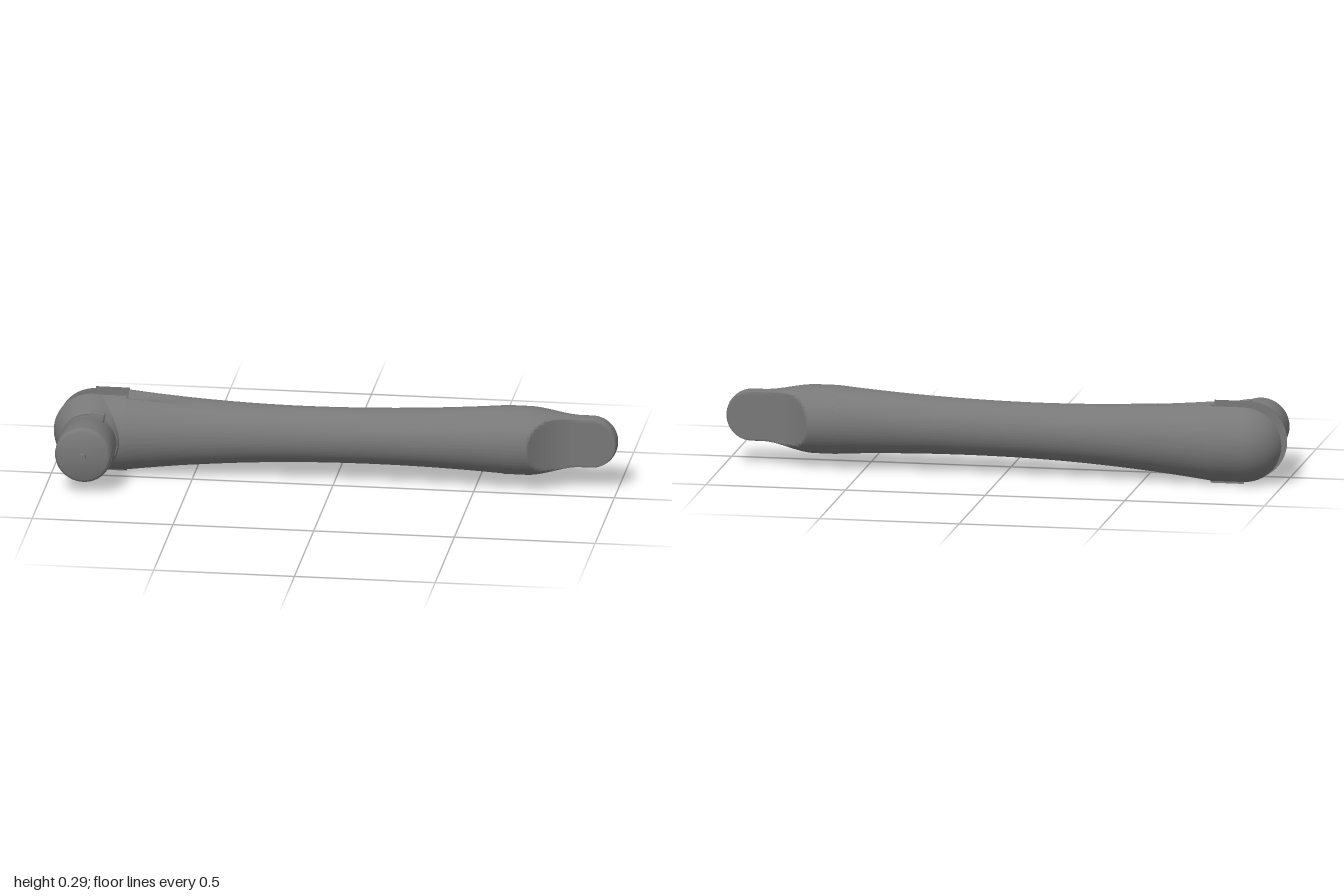
import * as THREE from 'three';
import { toCreasedNormals } from 'three/addons/utils/BufferGeometryUtils.js';
import { RoundedBoxGeometry } from 'three/addons/geometries/RoundedBoxGeometry.js';

const material = new THREE.MeshStandardMaterial({ color: 0x787878 });
const AXIS_Z = -0.095; // the long axis of the arm
const PIVOT_X = -0.86, PIVOT_Y = 0.14;
const SEGMENTS = 120;
const { clamp, smoothstep, lerp } = THREE.MathUtils;

function addMesh(parent, name, geometry, crease = 0.5) {
  const mesh = new THREE.Mesh(toCreasedNormals(geometry, crease), material);
  mesh.name = name;
  parent.add(mesh);
  return mesh;
}

// Capped skin through cross-sections along x; section(x, angle) returns [y, z]
function loft(xs, section) {
  const positions = [], index = [];
  for (const x of xs) {
    for (let j = 0; j < SEGMENTS; j++) {
      positions.push(x, ...section(x, (j / SEGMENTS) * Math.PI * 2));
    }
  }
  for (let i = 0; i < xs.length - 1; i++) {
    for (let j = 0; j < SEGMENTS; j++) {
      const k = (j + 1) % SEGMENTS;
      const a = i * SEGMENTS + j, b = i * SEGMENTS + k;
      index.push(a, b, a + SEGMENTS, b, b + SEGMENTS, a + SEGMENTS);
    }
  }
  [0, xs.length - 1].forEach((row, end) => {
    let y = 0, z = 0;
    for (let j = 0; j < SEGMENTS; j++) {
      y += positions[(row * SEGMENTS + j) * 3 + 1] / SEGMENTS;
      z += positions[(row * SEGMENTS + j) * 3 + 2] / SEGMENTS;
    }
    const centre = positions.length / 3;
    positions.push(xs[row], y, z);
    for (let j = 0; j < SEGMENTS; j++) {
      const a = row * SEGMENTS + j, b = row * SEGMENTS + ((j + 1) % SEGMENTS);
      index.push(centre, ...(end ? [a, b] : [b, a]));
    }
  });
  const geometry = new THREE.BufferGeometry();
  geometry.setAttribute('position', new THREE.Float32BufferAttribute(positions, 3));
  geometry.setIndex(index);
  return geometry;
}

const range = (from, to, steps) =>
  Array.from({ length: steps + 1 }, (_, i) => lerp(from, to, i / steps));

// Turned part around the pivot axis, from [radius, z] pairs running towards +z
function turned(points) {
  const geometry = new THREE.LatheGeometry(points.map(([r, z]) => new THREE.Vector2(r, z)), 48);
  return geometry.rotateX(Math.PI / 2).translate(PIVOT_X, PIVOT_Y, 0);
}

// Waisted arm, with a soft hollow where the fork slot runs out
function armSection(x, a) {
  const r = 0.098 + (x < 0 ? 0.078 : 0.063) * x * x;
  const z = r * Math.sin(a);
  const across = Math.max(0, 1 - ((z - 0.01) / 0.035) ** 2);
  const along = clamp((-0.5 - x) / 0.24, 0, 1);
  const y = r * Math.cos(a) * (1 - 0.18 * along * across);
  return [0.155 + 0.019 * x + y, AXIS_Z + z];
}

// Round end that narrows to a flat tongue
function tongueSection(x, a) {
  const tip = 0.092, tipX = 1 - tip;
  const narrowing = smoothstep(x, 0.68, 0.87);
  let h = lerp(0.1215, tip, narrowing);
  if (x > tipX) h = Math.sqrt(Math.max(tip * tip - (x - tipX) ** 2, 1e-8));
  const w = 0.03 + 0.092 * (1 - clamp((x - 0.69) / 0.16, 0, 1)) ** 2;
  return [lerp(0.166, 0.172, narrowing) + h * Math.cos(a), AXIS_Z + clamp(h * Math.sin(a), -w, w)];
}

// Slice of the round arm on one side of the slot
const prongSection = (zMin, zMax) => (x, a) =>
  [PIVOT_Y + 0.141 * Math.cos(a), clamp(AXIS_Z + 0.141 * Math.sin(a), zMin, zMax)];

export function createModel() {
  const model = new THREE.Group();
  model.name = 'armLink';

  addMesh(model, 'armTube', loft(range(-0.74, 0.6, 44), armSection), 0.8);
  const tipXs = range(0, Math.PI / 2, 16).map((t) => 0.908 + 0.092 * Math.sin(t));
  addMesh(model, 'tongueEnd', loft([0.6, 0.65, ...range(0.68, 0.9, 44), ...tipXs], tongueSection), 1.1);

  // Fork: domed rear prong and conical front prong
  const fork = new THREE.Group();
  fork.name = 'fork';
  model.add(fork);
  const dome = range(0, 1, 14).map((t) => {
    const angle = lerp(0, Math.acos(0.045 / 0.141), t);
    return [0.141 * Math.sin(angle), AXIS_Z - 0.141 * Math.cos(angle)];
  });
  addMesh(fork, 'rearProngDome', turned([...dome, [0, -0.14]]));
  addMesh(fork, 'rearProngRoot', loft([PIVOT_X, -0.74], prongSection(-1, -0.14)));
  addMesh(fork, 'frontProngCone', turned([[0, -0.06], [0.14, -0.06], [0.134, -0.03], [0.103, 0.054], [0, 0.054]]));
  addMesh(fork, 'frontProngRoot', loft([PIVOT_X, -0.74], prongSection(-0.06, 1)));

  // Motor on the pivot
  const motor = new THREE.Group();
  motor.name = 'motor';
  model.add(motor);
  addMesh(motor, 'motorNeck', turned([[0, 0.05], [0.094, 0.05], [0.094, 0.06], [0, 0.06]]));
  addMesh(motor, 'motorHousing', turned([
    [0, 0.057], [0.099, 0.057], [0.099, 0.082], [0.101, 0.086], [0.101, 0.182], [0, 0.182],
  ]));
  addMesh(motor, 'motorCap', turned([
    [0, 0.18], [0.1, 0.18], [0.1, 0.2], [0.096, 0.21], [0.088, 0.215], [0, 0.215],
  ]), 0.7);
  addMesh(motor, 'motorShaft', turned([[0, 0.21], [0.012, 0.21], [0.012, 0.237], [0, 0.237]]));
  const tab = addMesh(motor, 'cableTab', new RoundedBoxGeometry(0.05, 0.05, 0.022, 3, 0.008));
  tab.position.set(-0.827, 0.233, 0.069);
  tab.rotation.set(-0.1, 0, -0.2);

  return model;
}
